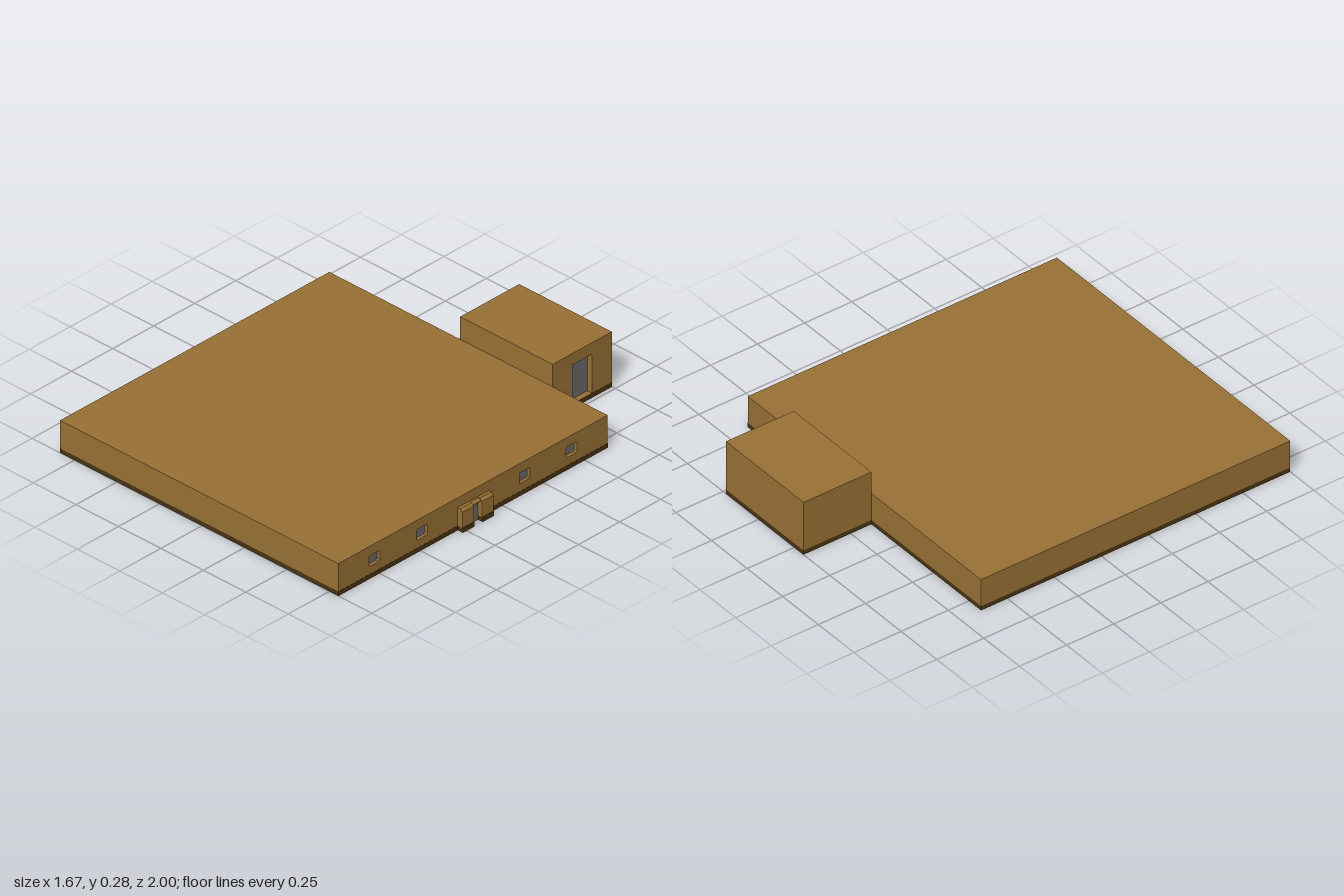
import * as THREE from 'three';

const wallMat = new THREE.MeshStandardMaterial({ color: 0x997235 });
const baseMat = new THREE.MeshStandardMaterial({ color: 0x4a3512 });
const glassMat = new THREE.MeshStandardMaterial({ color: 0x6b6b6b });

const BASE = 0.022; // plinth height
const HALL_X = 0.803, TOWER_X = 0.48; // outer faces of the two right-hand walls

// Box given by its extents on each axis
function block(name, mat, [x0, x1], [y0, y1], [z0, z1]) {
  const mesh = new THREE.Mesh(new THREE.BoxGeometry(x1 - x0, y1 - y0, z1 - z0), mat);
  mesh.position.set((x0 + x1) / 2, (y0 + y1) / 2, (z0 + z1) / 2);
  mesh.name = name;
  return mesh;
}

// Outline in (-z, y) with slightly clipped corners
function outline(PathType, z0, z1, y0, y1, c = 0) {
  const p = new PathType();
  const a = -z1, b = -z0;
  const pts = c
    ? [[a + c, y0], [b - c, y0], [b, y0 + c], [b, y1 - c], [b - c, y1], [a + c, y1], [a, y1 - c], [a, y0 + c]]
    : [[a, y0], [b, y0], [b, y1], [a, y1]];
  p.setFromPoints(pts.map(([x, y]) => new THREE.Vector2(x, y)));
  return p;
}

// Flat shape in (-z, y) extruded towards +x
function extrudeX(name, mat, shape, x0, x1) {
  const geo = new THREE.ExtrudeGeometry(shape, { depth: x1 - x0, bevelEnabled: false });
  geo.rotateY(Math.PI / 2);
  geo.translate(x0, 0, 0);
  const mesh = new THREE.Mesh(geo, mat);
  mesh.name = name;
  return mesh;
}

// Porch piece: side profile with a chamfered upper front edge, extruded along z
function porchPiece(name, y0, xFront, z0, z1) {
  const s = new THREE.Shape();
  const top = 0.113, c = 0.012;
  s.moveTo(HALL_X - 0.005, y0);
  s.lineTo(xFront, y0);
  s.lineTo(xFront, top - c);
  s.lineTo(xFront - c, top);
  s.lineTo(HALL_X - 0.005, top);
  const geo = new THREE.ExtrudeGeometry(s, { depth: z1 - z0, bevelEnabled: false });
  geo.translate(0, 0, z0);
  const mesh = new THREE.Mesh(geo, wallMat);
  mesh.name = name;
  return mesh;
}

export function createModel() {
  const model = new THREE.Group();
  model.name = 'building';

  // Low main hall: solid core plus a pierced wall on its left side
  const hall = new THREE.Group();
  hall.name = 'mainHall';
  const hallInner = HALL_X - 0.02;
  hall.add(block('hallCore', wallMat, [-0.835, hallInner], [BASE, 0.162], [-0.64, 1]));
  const wall = outline(THREE.Shape, -0.64, 1, BASE, 0.162);
  for (const z of [0.78, 0.49, -0.135, -0.42]) {
    wall.holes.push(outline(THREE.Path, z - 0.033, z + 0.033, 0.061, 0.115, 0.006));
    hall.add(block('window', glassMat, [hallInner - 0.01, hallInner + 0.003], [0.055, 0.12], [z - 0.036, z + 0.036]));
  }
  hall.add(extrudeX('windowWall', wallMat, wall, hallInner, HALL_X));
  hall.add(block('hallPlinth', baseMat, [-0.835, HALL_X + 0.001], [0, BASE], [-0.64, 1]));
  model.add(hall);

  // Taller block at the back with a recessed gate
  const tower = new THREE.Group();
  tower.name = 'rearBlock';
  const towerInner = TOWER_X - 0.03;
  tower.add(block('rearCore', wallMat, [-0.065, towerInner], [BASE, 0.275], [-1, -0.64]));
  const gateWall = outline(THREE.Shape, -1, -0.64, BASE, 0.275);
  gateWall.holes.push(outline(THREE.Path, -0.88, -0.76, BASE + 0.001, 0.218));
  tower.add(extrudeX('gateWall', wallMat, gateWall, towerInner, TOWER_X));
  tower.add(block('gate', glassMat, [towerInner - 0.01, towerInner + 0.003], [BASE, 0.22], [-0.882, -0.758]));
  tower.add(block('rearPlinth', baseMat, [-0.065, TOWER_X + 0.001], [0, BASE], [-1, -0.64]));
  model.add(tower);

  // Entrance porch with two side blocks, a shallower lintel and a recessed door
  const porch = new THREE.Group();
  porch.name = 'porch';
  for (const [z0, z1] of [[0.083, 0.153], [0.203, 0.273]]) {
    porch.add(porchPiece('porchSide', BASE, 0.83, z0, z1));
    porch.add(block('porchPlinth', baseMat, [HALL_X - 0.005, 0.834], [0, BASE], [z0, z1]));
  }
  porch.add(porchPiece('porchLintel', 0.098, 0.822, 0.153, 0.203));
  porch.add(block('door', glassMat, [HALL_X - 0.005, HALL_X + 0.005], [0.001, 0.1], [0.153, 0.203]));
  model.add(porch);

  return model;
}
